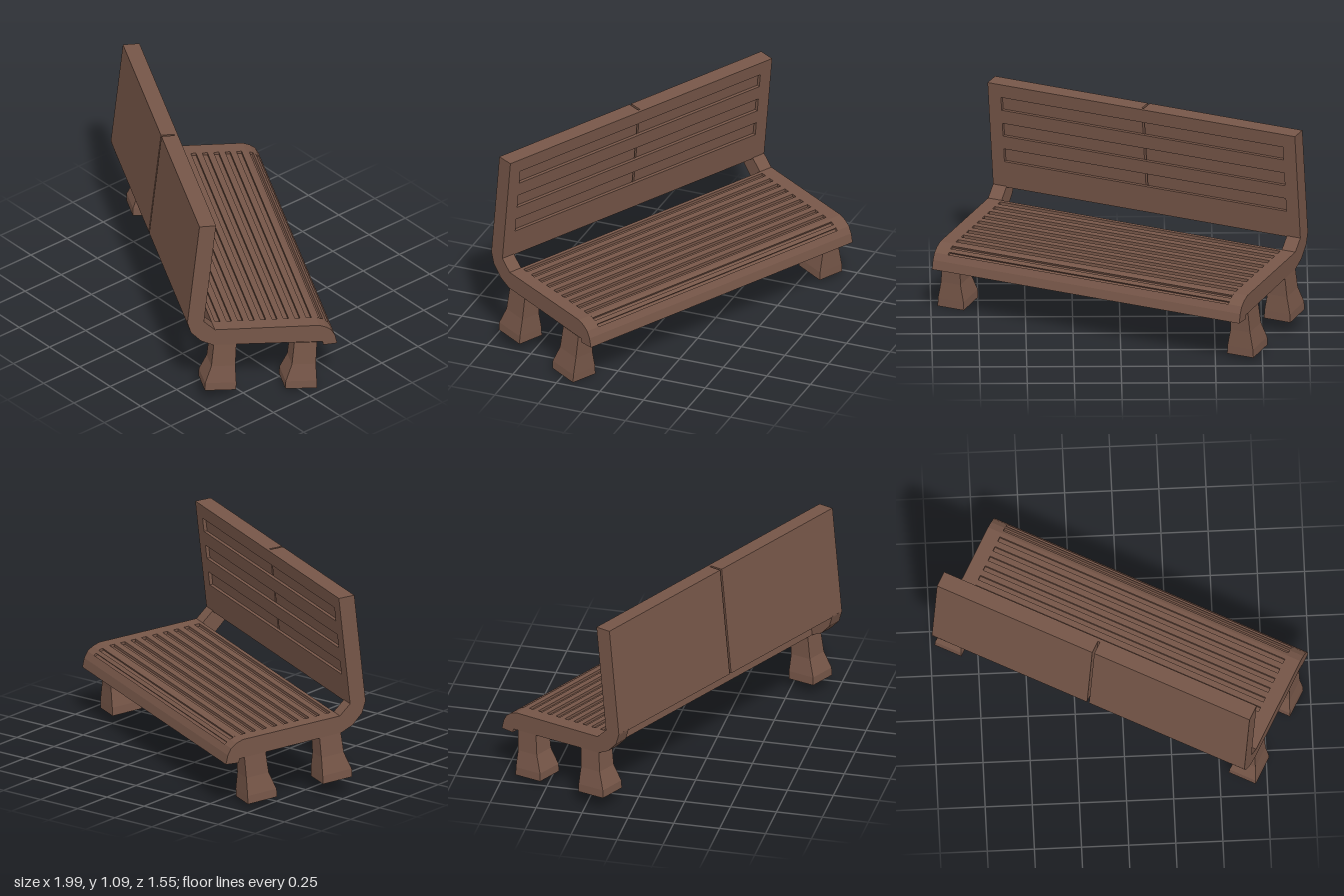
import * as THREE from 'three';

const SLOPE = 0.11;   // the whole bench tips slightly towards its seat edge
const HALF = 0.91;    // half of the bench length

export function createModel() {
  const model = new THREE.Group();
  const bench = new THREE.Group();
  bench.name = 'bench';
  bench.rotation.y = -0.473; // the bench stands diagonally
  model.add(bench);

  const wood = new THREE.MeshStandardMaterial({ color: 0x765648, flatShading: true });

  function add(name, geometry) {
    const mesh = new THREE.Mesh(geometry, wood);
    mesh.name = name;
    bench.add(mesh);
    return mesh;
  }

  // Extrude a side profile (depth towards the seat edge, height) along the bench
  function sweep(name, points, x0, x1) {
    const shape = new THREE.Shape(points.map(([u, y]) => new THREE.Vector2(u, y)));
    const geo = new THREE.ExtrudeGeometry(shape, { depth: x1 - x0, bevelEnabled: false });
    geo.rotateY(Math.PI / 2).translate(x0, 0, 0);
    return add(name, geo);
  }

  // Move every vertex of a geometry by a rule
  function deform(geo, rule) {
    const p = geo.attributes.position;
    const v = new THREE.Vector3();
    for (let i = 0; i < p.count; i++) {
      rule(v.fromBufferAttribute(p, i));
      p.setXYZ(i, v.x, v.y, v.z);
    }
    geo.computeVertexNormals();
    return geo;
  }

  // Seat: plain ends and a grooved middle
  const topY = u => 0.43 - 0.095 * (u + 0.26);
  const under = [[0.405, 0.25], [0.33, 0.25], [0.325, 0.272], [-0.27, 0.336]];
  const nose = [[0.307, topY(0.307)], [0.345, 0.36], [0.375, 0.336], [0.394, 0.30]];
  const plain = [[-0.26, 0.43], ...nose, ...under];
  const grooves = [];
  for (let i = 0; i < 9; i++) {
    const a = -0.241 + i * 0.062, b = a + 0.028, d = 0.015;
    grooves.push([a, topY(a)], [a, topY(a) - d], [b, topY(b) - d], [b, topY(b)]);
  }
  // Two further grooves on the rounded front edge
  const groovedNose = [
    [0.307, topY(0.307)], [0.325, 0.369], [0.319, 0.357], [0.339, 0.348], [0.345, 0.36],
    [0.362, 0.346], [0.352, 0.336], [0.365, 0.326], [0.375, 0.336], [0.394, 0.30],
  ];
  sweep('seatSlats', [[-0.26, 0.43], ...grooves, ...groovedNose, ...under], -0.83, 0.83);
  sweep('seatEndRight', plain, -HALF, -0.83);
  sweep('seatEndLeft', plain, 0.83, HALF);

  // Curved brackets joining the seat and the backrest
  const bracket = [
    [-0.41, 0.495], [-0.39, 0.43], [-0.335, 0.37], [-0.27, 0.336],
    [-0.24, 0.335], [-0.24, 0.428], [-0.26, 0.43], [-0.325, 0.495],
  ];
  sweep('bracketRight', bracket, -HALF, -0.83);
  sweep('bracketLeft', bracket, 0.83, HALF);

  // Backrest, leaning with the tilt of the bench
  const lean = v => {
    const z = v.z;
    v.z -= SLOPE * (v.y - 0.49);
    v.y -= SLOPE * (0.41 - z) * 0.6;
  };
  const y0 = 0.49, y1 = 1.092;
  for (const side of [-1, 1]) {
    const width = HALF - 0.006;
    const panel = new THREE.BoxGeometry(width, y1 - y0, 0.072);
    panel.translate(side * (0.006 + width / 2), (y0 + y1) / 2, 0.374);
    add(side < 0 ? 'backPanelRight' : 'backPanelLeft', deform(panel, lean));
  }

  // Slotted face in front of the two panels
  const rect = (Type, x, a, b) => new Type([[-x, a], [x, a], [x, b], [-x, b]]
    .map(([px, py]) => new THREE.Vector2(px, py)));
  const face = rect(THREE.Shape, HALF, y0, y1);
  for (const y of [0.64, 0.79, 0.942]) face.holes.push(rect(THREE.Path, 0.835, y, y + 0.075));
  const faceGeo = new THREE.ExtrudeGeometry(face, { depth: 0.018, bevelEnabled: false });
  add('backrestFace', deform(faceGeo.translate(0, 0, 0.32), lean));

  // Flared legs: [height, rear offset, front offset, inner x, outer x]
  const rings = [
    [0, -0.17, 0, 0.78, 0.935],
    [0.045, -0.168, 0.001, 0.782, 0.933],
    [0.14, -0.13, 0.0, 0.80, 0.915],
    [0.27, -0.115, 0.008, 0.80, 0.905],
  ];
  function leg(name, side, front, foot) {
    const geo = new THREE.BoxGeometry(1, 1, 1, 1, 3, 1);
    deform(geo, v => {
      const r = rings[Math.round((v.y + 0.5) * 3)];
      const outer = v.x * side > 0;
      const u = front + (v.z > 0 ? r[1] : r[2]);
      v.set(side * (outer ? r[4] : r[3]), foot + r[0] - SLOPE * (u - front), -u);
    });
    add(name, geo);
  }
  for (const side of [-1, 1]) {
    const lift = side < 0 ? 0.02 : 0;
    const label = side < 0 ? 'Right' : 'Left';
    leg('rearLeg' + label, side, -0.15, 0.052 + lift);
    leg('frontLeg' + label, side, 0.288, lift);
  }

  return model;
}
